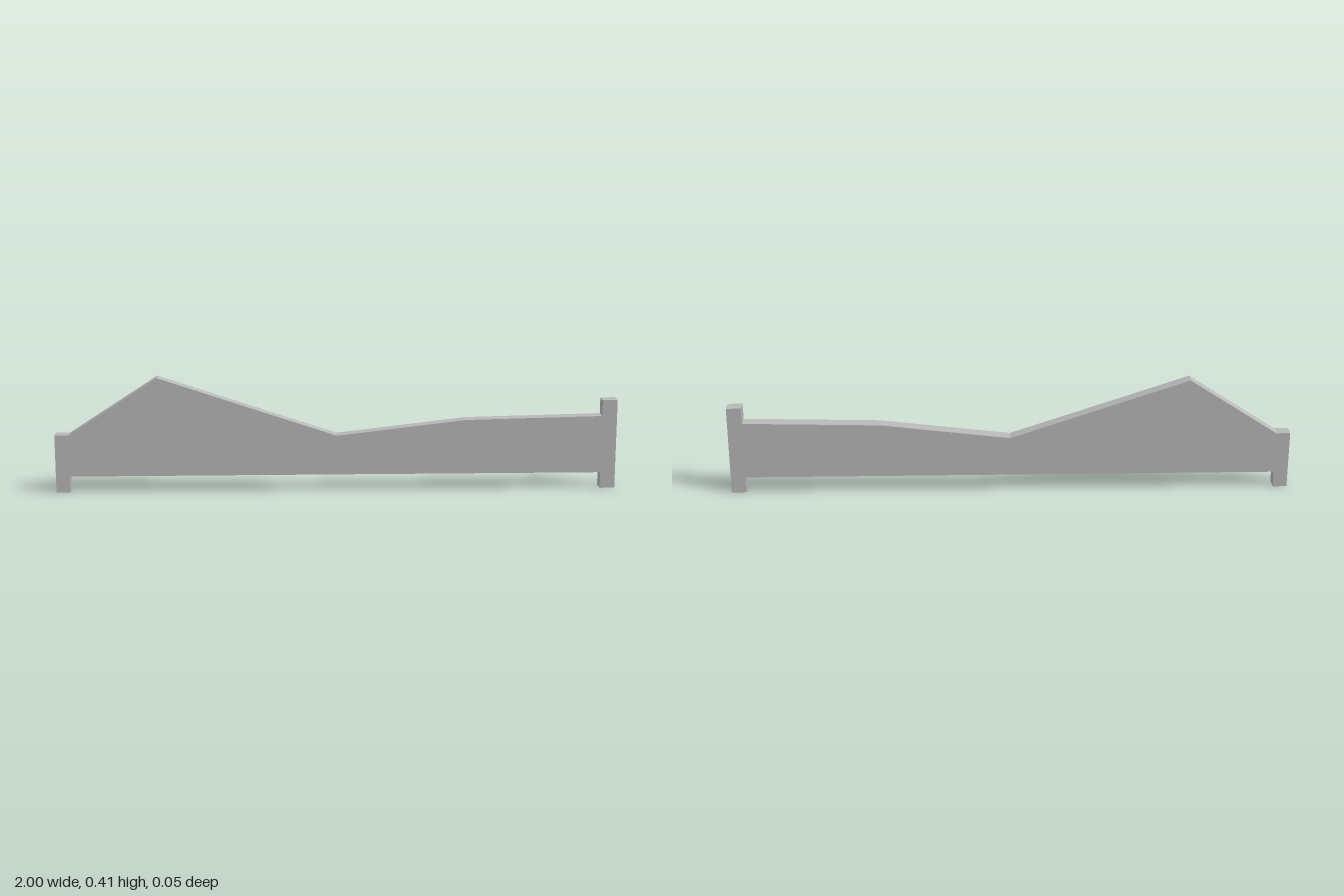
import * as THREE from 'three';

const DEPTH = 0.048;

export function createModel() {
  const model = new THREE.Group();
  model.name = 'fencePanel';

  const grey = new THREE.MeshStandardMaterial({ color: 0xb8b8b8 });
  grey.name = 'plain grey';

  // One continuous outline: two end posts with feet, joined by a panel with a sloping top
  const outline = new THREE.Shape([
    // short post's foot, underside of the panel, tall post's foot
    [-1, 0], [-0.95, 0], [-0.95, 0.058], [0.947, 0.058], [0.947, 0],
    // tall post
    [1, 0], [1, 0.323], [0.947, 0.323],
    // sloping top edge down to the valley and up to the peak
    [0.947, 0.265], [0.46, 0.254], [0, 0.2], [-0.635, 0.413],
    // short post
    [-0.95, 0.208], [-1, 0.208],
  ].map(([x, y]) => new THREE.Vector2(x, y)));

  const geometry = new THREE.ExtrudeGeometry(outline, { depth: DEPTH, bevelEnabled: false });
  geometry.translate(0, 0, -DEPTH / 2);

  const wall = new THREE.Mesh(geometry, grey);
  wall.name = 'panelWithPosts';
  model.add(wall);
  return model;
}
